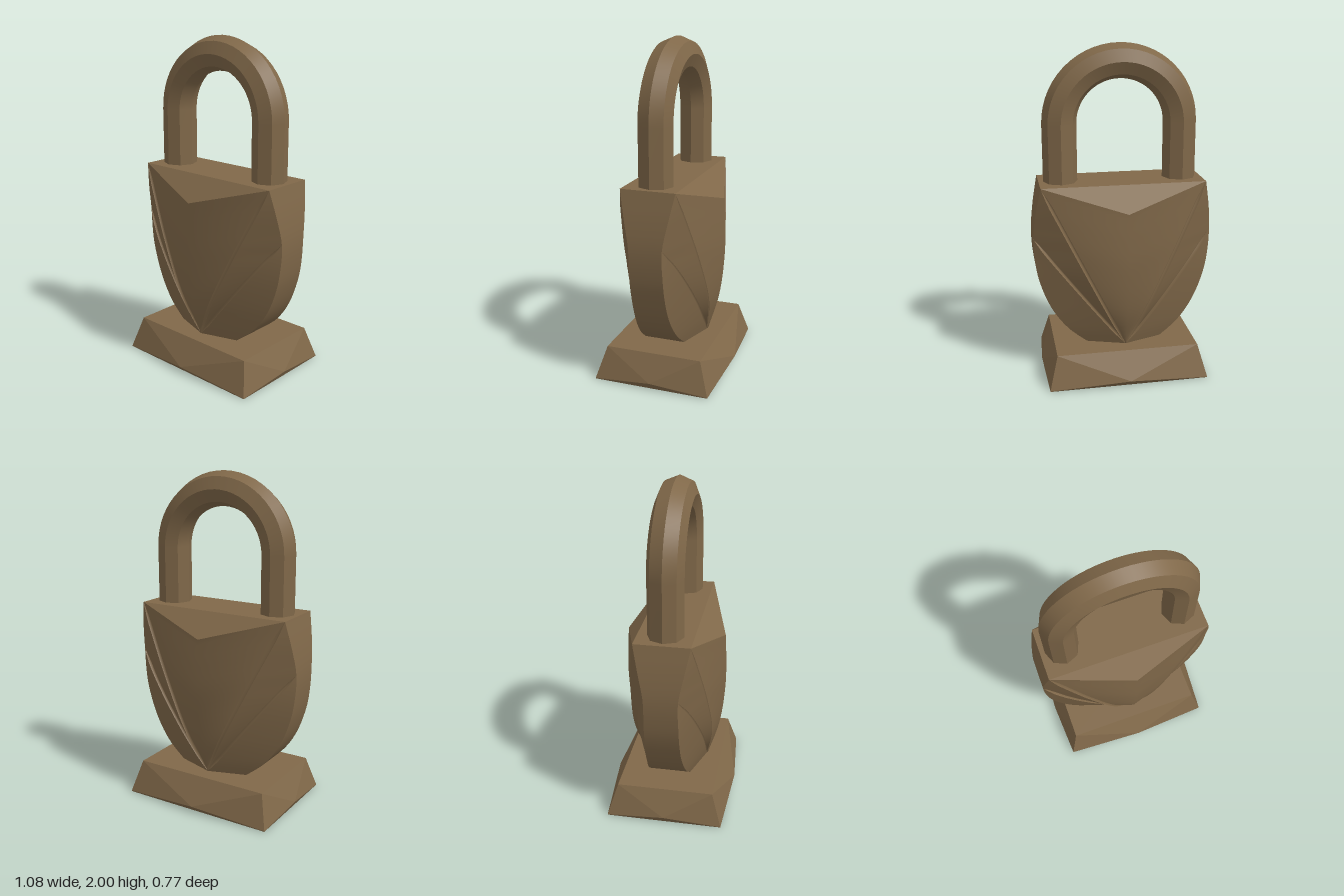
import * as THREE from 'three';
import { mergeGeometries } from 'three/addons/utils/BufferGeometryUtils.js';

const bronze = new THREE.MeshStandardMaterial({ color: 0x806849 });
bronze.name = 'agedBronze';

// Smooth function of y through a few [y, value] pairs
function profile(pairs) {
  const c = new THREE.CubicInterpolant(pairs.map(p => p[0]), pairs.map(p => p[1]), 1);
  return y => c.evaluate(y)[0];
}

// Sheet through rows of points; rows go up, points go left to right seen from outside
function loft(rows) {
  const m = rows[0].length, index = [];
  for (let i = 0; i < rows.length - 1; i++) {
    for (let j = 0; j < m - 1; j++) {
      const a = i * m + j, c = a + m;
      index.push(a, a + 1, c + 1, a, c + 1, c);
    }
  }
  const g = new THREE.BufferGeometry();
  g.setAttribute('position', new THREE.Float32BufferAttribute(rows.flat(2), 3));
  g.setIndex(index);
  g.computeVertexNormals();
  return g;
}

// Separate flat triangles
function facets(points) {
  const g = new THREE.BufferGeometry();
  g.setAttribute('position', new THREE.Float32BufferAttribute(points.flat(), 3));
  g.computeVertexNormals();
  return g;
}

function add(group, name, geometry) {
  const mesh = new THREE.Mesh(geometry, bronze);
  mesh.name = name;
  group.add(mesh);
}

const sample = (n, fn) => Array.from({ length: n + 1 }, (_, i) => fn(i / n));

// Body outline and seam depths
const FOOT = 0.2, TOP = 1.2, SHOULDER = 0.88;
const rimX = profile([[0.2, 0.23], [0.28, 0.33], [0.41, 0.43], [0.6, 0.507], [0.75, 0.533], [0.88, 0.538], [1.03, 0.522], [1.2, 0.49]]);
const rimZ = profile([[0.2, 0.125], [0.44, 0.105], [0.7, 0.1], [0.88, 0.1], [1.04, 0.13], [1.2, 0.162]]);
const ridgeZ = profile([[0.2, 0.205], [0.44, 0.275], [0.73, 0.307], [0.9, 0.306], [1.06, 0.298]]);
const upperZ = profile([[0.2, 0.2], [0.44, 0.243], [0.757, 0.228], [1.0, 0.195], [1.2, 0.162]]);
const lowerZ = profile([[0.2, 0.2], [0.44, 0.2], [0.73, 0.153], [0.88, 0.1]]);
const taper = t => 0.012 * Math.max(0, Math.min(1, 10 * t, 10 * (1 - t)));

// Points on a diagonal seam at height y, k = -1 inner lip, 0 groove floor, 1 outer lip
function upperSeam(y, k) {
  const t = y - FOOT, w = taper(t);
  return [0.49 * t + k * w, y, upperZ(y) - (k ? 0 : 1.2 * w)];
}
function lowerSeam(y, k) {
  const t = (y - FOOT) / (SHOULDER - FOOT), w = taper(t);
  return [rimX(SHOULDER) * t + k * w, y, lowerZ(y) - (k ? 0 : 1.2 * w)];
}
const rim = y => [rimX(y), y, rimZ(y)];
const mirrorX = p => [-p[0], p[1], p[2]];

function bodyHalf(name) {
  const half = new THREE.Group();
  half.name = name;
  // Central shield panel with its soft ridge
  add(half, 'shieldPanel', loft(sample(25, t => {
    const edge = upperSeam(FOOT + t, -1), y = FOOT + 0.86 * t;
    return [mirrorX(edge), [0, y, ridgeZ(y)], edge];
  })));
  // Sloping triangle above the shield
  add(half, 'topBevel', facets([[-0.49, TOP, 0.162], [0, 1.06, 0.298], [0.49, TOP, 0.162]]));
  // Fan panels and grooves on both sides
  for (const side of [1, -1]) {
    const sheet = (label, top, n, fn) => add(half, label, loft(sample(n, t => {
      const row = fn(FOOT + (top - FOOT) * t);
      return side > 0 ? row : row.map(mirrorX).reverse();
    })));
    const grooveRow = seam => y => [seam(y, -1), seam(y, 0), seam(y, 1)];
    sheet('upperGroove', TOP, 25, grooveRow(upperSeam));
    sheet('lowerGroove', SHOULDER, 17, grooveRow(lowerSeam));
    sheet('upperFanPanel', TOP, 25, y => [upperSeam(y, 1), y < SHOULDER - 0.001 ? lowerSeam(y, -1) : rim(y)]);
    sheet('lowerFanPanel', SHOULDER, 17, y => [lowerSeam(y, 1), rim(y)]);
  }
  // Curved band round one edge
  add(half, 'sideBand', loft(sample(25, t => {
    const [x, y, z] = rim(FOOT + t);
    return [[x, y, z], [x, y, -z]];
  })));
  return half;
}

// Eight-sided bar bent into an arch, with sharp lengthwise edges
function shackleGeometry() {
  const r = 0.102, R = 0.36, springY = 1.54;
  const path = [[R, 1.19, 0]];
  for (let i = 0; i <= 28; i++) {
    const a = Math.PI * i / 28;
    path.push([R * Math.cos(a), springY + (R - 0.002) * Math.sin(a), a]);
  }
  path.push([-R, 1.19, Math.PI]);
  const point = ([x, y, a], k) => {
    const p = k * Math.PI / 4, out = r * Math.cos(p);
    return [x + out * Math.cos(a), y + out * Math.sin(a), -r * 1.03 * Math.sin(p)];
  };
  const strips = [];
  for (let k = 0; k < 8; k++) strips.push(loft(path.map(s => [point(s, k), point(s, k + 1)])));
  return mergeGeometries(strips);
}

// Tapered plinth whose lower edges are pushed out at the middle
function plinthGeometry() {
  const corners = [[-1, 1], [1, 1], [1, -1], [-1, -1]];
  const top = corners.map(([x, z]) => [0.43 * x, FOOT, 0.29 * z]);
  const low = corners.map(([x, z]) => [0.482 * x, 0.005, 0.35 * z]);
  const mid = [[0, 0.04, 0.385], [0.503, 0.04, 0], [0, 0.04, -0.385], [-0.503, 0.04, 0]];
  const tris = [top[0], top[1], top[2], top[0], top[2], top[3]];
  const floor = low.map(([x, , z]) => [x, 0, z]);
  tris.push(floor[0], floor[2], floor[1], floor[0], floor[3], floor[2]);
  for (let i = 0; i < 4; i++) {
    const j = (i + 1) % 4, m = mid[i];
    tris.push(top[i], low[i], m, top[i], m, top[j], top[j], m, low[j]);
    tris.push(floor[i], floor[j], m, low[i], floor[i], m, floor[j], low[j], m);
  }
  return facets(tris);
}

export function createModel() {
  const model = new THREE.Group();
  model.name = 'padlock';
  add(model, 'plinth', plinthGeometry());

  const body = new THREE.Group();
  body.name = 'body';
  const back = bodyHalf('backHalf');
  back.rotation.y = Math.PI;
  body.add(bodyHalf('frontHalf'), back);
  add(body, 'topPlate', loft([
    [[-0.49, TOP, 0.162], [0.49, TOP, 0.162]],
    [[-0.49, TOP, -0.162], [0.49, TOP, -0.162]],
  ]));
  model.add(body);

  add(model, 'shackle', shackleGeometry());
  return model;
}
